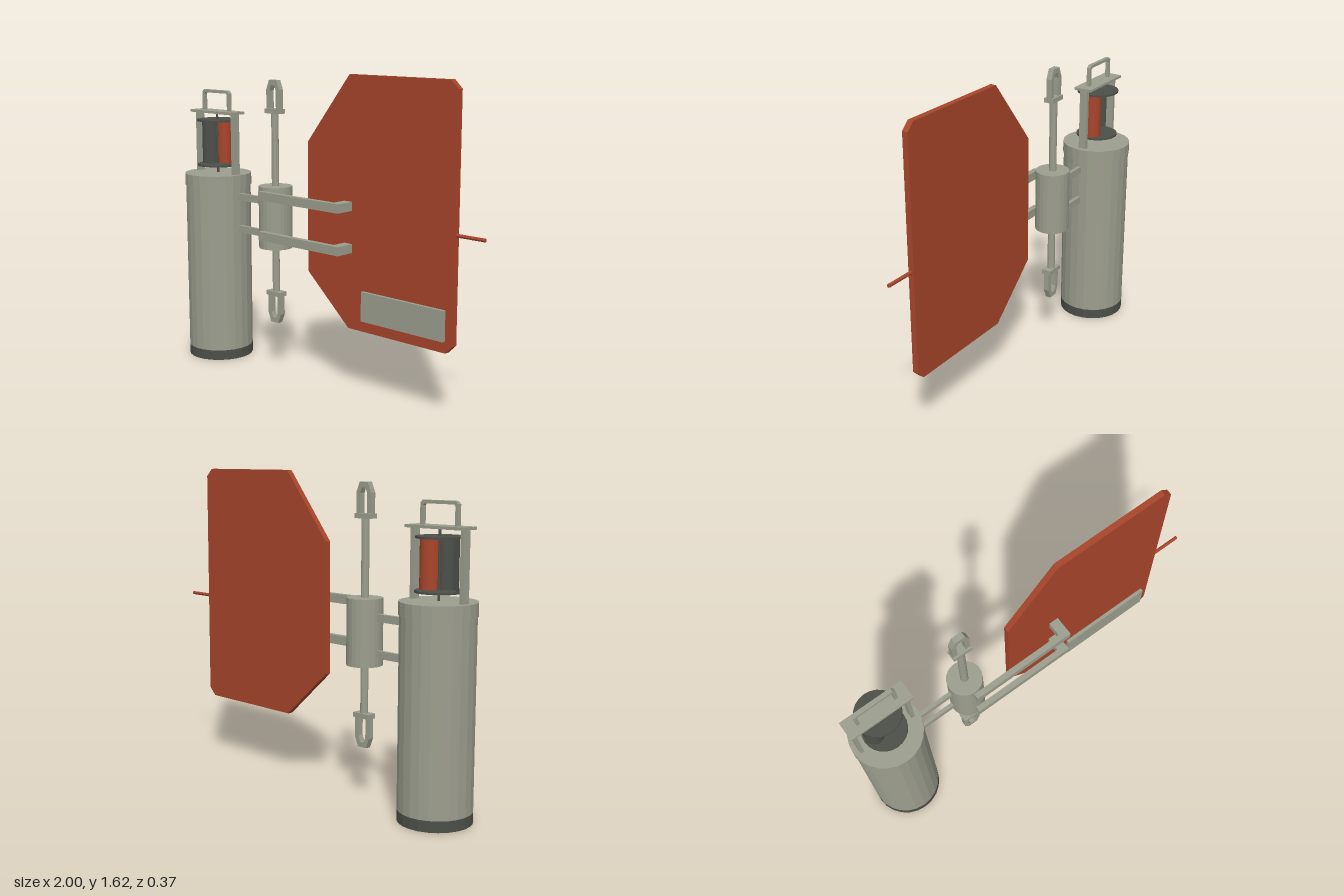
import * as THREE from 'three';

export function createModel() {
  const model = new THREE.Group();
  const material = (name, color) => Object.assign(new THREE.MeshStandardMaterial({ color }), { name });
  const grey = material('grey green metal', 0x9c9e8e);
  const dark = material('dark metal', 0x4d5049);
  const red = material('rust red', 0xa8452b);

  // Adds a faceted mesh
  function add(name, geometry, mat, x = 0, y = 0, z = 0) {
    const geo = geometry.index ? geometry.toNonIndexed() : geometry;
    geo.computeVertexNormals();
    const mesh = new THREE.Mesh(geo, mat);
    mesh.name = name;
    mesh.position.set(x, y, z);
    model.add(mesh);
    return mesh;
  }
  // Box from its limits on each axis
  const box = (name, mat, [x0, x1], [y0, y1], [z0, z1]) =>
    add(name, new THREE.BoxGeometry(x1 - x0, y1 - y0, z1 - z0), mat, (x0 + x1) / 2, (y0 + y1) / 2, (z0 + z1) / 2);
  // Upright cylinder from y0 to y1
  const post = (name, mat, x, r, y0, y1, sides = 24) =>
    add(name, new THREE.CylinderGeometry(r, r, y1 - y0, sides), mat, x, (y0 + y1) / 2, 0);
  const outline = points => points.map(([x, y]) => new THREE.Vector2(x, y));
  // Flat plate centred on z = 0
  function plate(name, mat, points, depth, hole) {
    const shape = new THREE.Shape(outline(points));
    if (hole) shape.holes.push(new THREE.Path(outline(hole)));
    const geo = new THREE.ExtrudeGeometry(shape, { depth, bevelEnabled: false });
    return add(name, geo.translate(0, 0, -depth / 2), mat);
  }

  // Main canister
  const cx = -0.816;
  post('canisterBase', dark, cx, 0.18, 0, 0.055);
  post('canisterBody', grey, cx, 0.18, 0.055, 0.975);
  post('canisterCollar', grey, cx, 0.184, 0.975, 1.04);

  // Rotor cage with carrying handle
  for (const s of [-1, 1]) {
    const px = cx + s * 0.146;
    box('cagePost', grey, [px - 0.01, px + 0.01], [1.04, 1.37], [-0.022, 0.022]);
  }
  box('cageTop', grey, [cx - 0.168, cx + 0.168], [1.37, 1.384], [-0.05, 0.05]);
  plate('handle', grey, [
    [-0.11, 1.384], [-0.093, 1.384], [-0.093, 1.472], [-0.087, 1.48], [0.087, 1.48], [0.093, 1.472],
    [0.093, 1.384], [0.11, 1.384], [0.11, 1.482], [0.096, 1.496], [-0.096, 1.496], [-0.11, 1.482],
  ], 0.02).position.x = cx;

  // Rotor: two end discs, spindle and two opposed half-round blades
  post('rotorSpindle', dark, cx, 0.006, 1.04, 1.37, 8);
  post('rotorLowerDisc', dark, cx, 0.112, 1.08, 1.09);
  post('rotorUpperDisc', dark, cx, 0.112, 1.327, 1.337);
  for (const [name, mat, s] of [['darkBlade', dark, -1], ['redBlade', red, 1]]) {
    const arc = [];
    for (let i = 0; i <= 12; i++) {
      const a = (i / 12) * Math.PI;
      arc.push([0.048 * Math.cos(a), 0.048 * Math.sin(a)]);
    }
    for (let i = 12; i >= 0; i--) {
      const a = (i / 12) * Math.PI;
      arc.push([0.043 * Math.cos(a), 0.043 * Math.sin(a)]);
    }
    const blade = plate(name, mat, arc, 0.237);
    blade.rotation.set(-Math.PI / 2, 0, s < 0 ? Math.PI : 0);
    blade.position.set(cx + s * 0.055, 1.2085, 0);
  }

  // Pivot hub and vertical shaft
  const hx = -0.355, midY = 0.917;
  post('pivotHub', grey, hx, 0.09, 0.68, 1.013);
  post('pivotShaft', grey, hx, 0.02, 0.43, 1.4, 12);

  // Shackles at both ends of the shaft
  for (const s of [1, -1]) {
    const flangeY = midY + s * 0.491;
    box('shackleFlange', grey, [hx - 0.05, hx + 0.05], [flangeY - 0.012, flangeY + 0.012], [-0.026, 0.026]);
    const loop = plate('shackleLoop', grey,
      [[-0.048, 0.49], [0.048, 0.49], [0.048, 0.602], [0.027, 0.653], [-0.027, 0.653], [-0.048, 0.602]], 0.03,
      [[-0.023, 0.5], [-0.023, 0.598], [-0.012, 0.626], [0.012, 0.626], [0.023, 0.598], [0.023, 0.5]]);
    loop.position.set(hx, midY, 0);
    if (s < 0) loop.rotation.z = Math.PI;
  }

  // Struts from canister to hub, and cranked arms from hub to vane
  for (const y of [0.743, 0.922]) box('canisterStrut', grey, [-0.65, -0.43], [y - 0.019, y + 0.019], [-0.01, 0.01]);
  for (const y of [0.758, 0.972]) {
    plate('vaneArm', grey, [
      [-0.362, -0.12], [0.207, -0.12], [0.207, -0.015], [0.155, -0.015], [0.155, -0.09], [-0.362, -0.09],
    ], 0.046).rotation.x = -Math.PI / 2;
    model.children[model.children.length - 1].position.y = y;
  }

  // Large tail vane with ballast bar and end rod
  plate('tailVane', red, [
    [-0.098, 0.595], [0.185, 0.342], [0.8, 0.342], [0.842, 0.383],
    [0.842, 1.58], [0.8, 1.62], [0.185, 1.62], [-0.098, 1.27],
  ], 0.03);
  box('ballastBar', grey, [0.285, 0.797], [0.4, 0.552], [0.013, 0.033]);
  add('tailRod', new THREE.CylinderGeometry(0.009, 0.009, 0.17, 8), red, 0.915, 0.912, 0).rotation.z = Math.PI / 2;

  return model;
}
